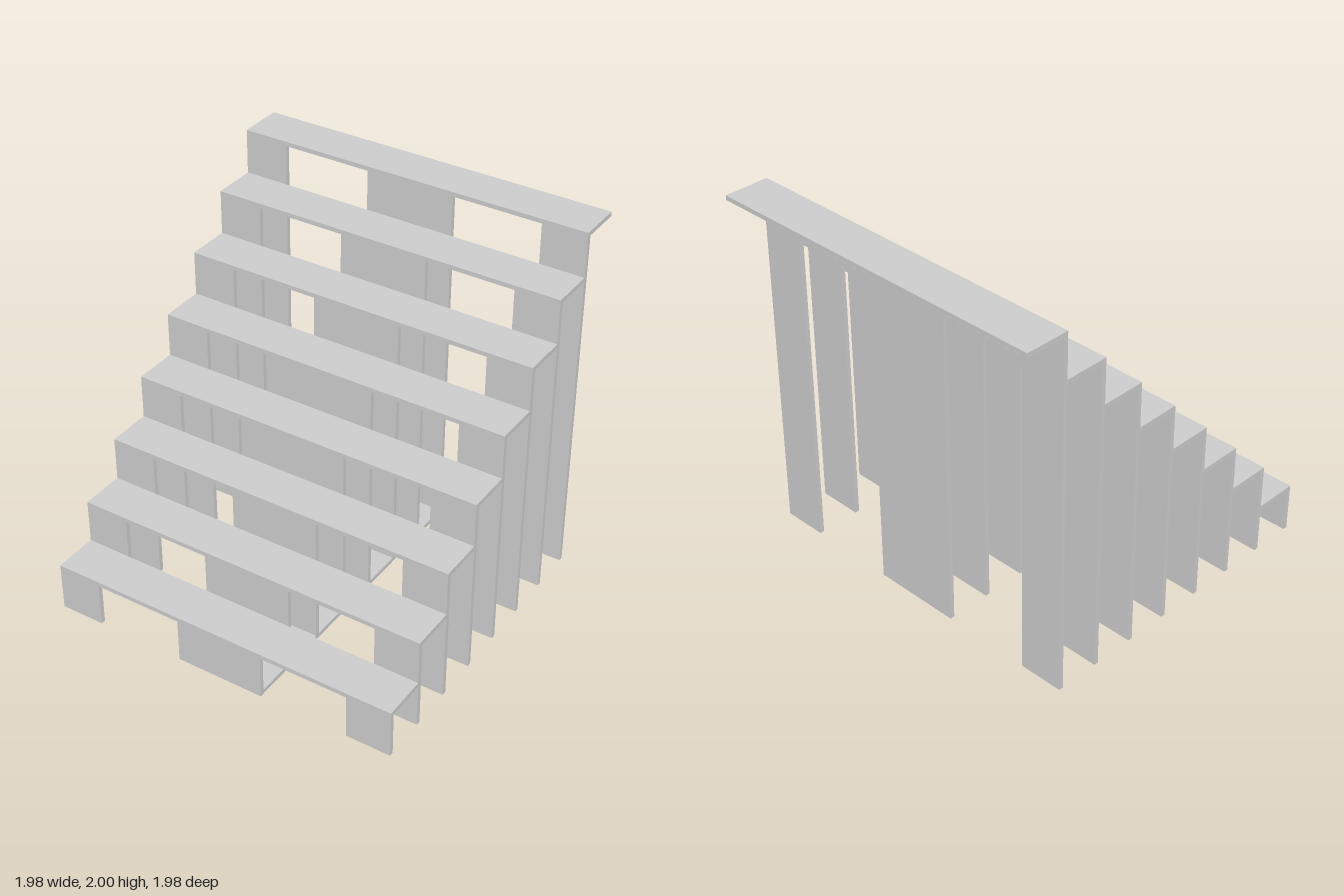
import * as THREE from 'three';

const STEPS = 8;
const T = 2 / 81;        // board thickness
const PITCH = 10 * T;    // rise and run of one step
const HALF = 4 * PITCH;  // half the width and half the depth

export function createModel() {
  const model = new THREE.Group();
  const material = new THREE.MeshStandardMaterial({ color: 0xcccccc, flatShading: true });

  // Box given by its minimum and maximum on each axis
  function board(name, [x0, x1], [y0, y1], [z0, z1], parent) {
    const mesh = new THREE.Mesh(new THREE.BoxGeometry(x1 - x0, y1 - y0, z1 - z0), material);
    mesh.position.set((x0 + x1) / 2, (y0 + y1) / 2, (z0 + z1) / 2);
    mesh.name = name;
    parent.add(mesh);
  }

  for (let i = 0; i < STEPS; i++) {
    const step = new THREE.Group();
    step.name = `step${i + 1}`;
    const front = HALF - i * PITCH;
    const height = (i + 1) * PITCH;
    const legZ = [front - T, front];

    // Full-width tread on two outer legs and a wide centre panel
    board('tread', [-HALF, HALF], [height, height + T], [front - PITCH, front], step);
    board('rightLeg', [-HALF, PITCH - HALF], [0, height], legZ, step);
    board('centrePanel', [-PITCH, PITCH], [0, height], legZ, step);
    board('leftLeg', [HALF - PITCH, HALF], [0, height], legZ, step);
    model.add(step);
  }

  // Floor strip tying the centre panels together, under their left half only
  board('floorStrip', [0, PITCH], [0, T], [HALF - (STEPS - 1) * PITCH - T, HALF], model);

  return model;
}
